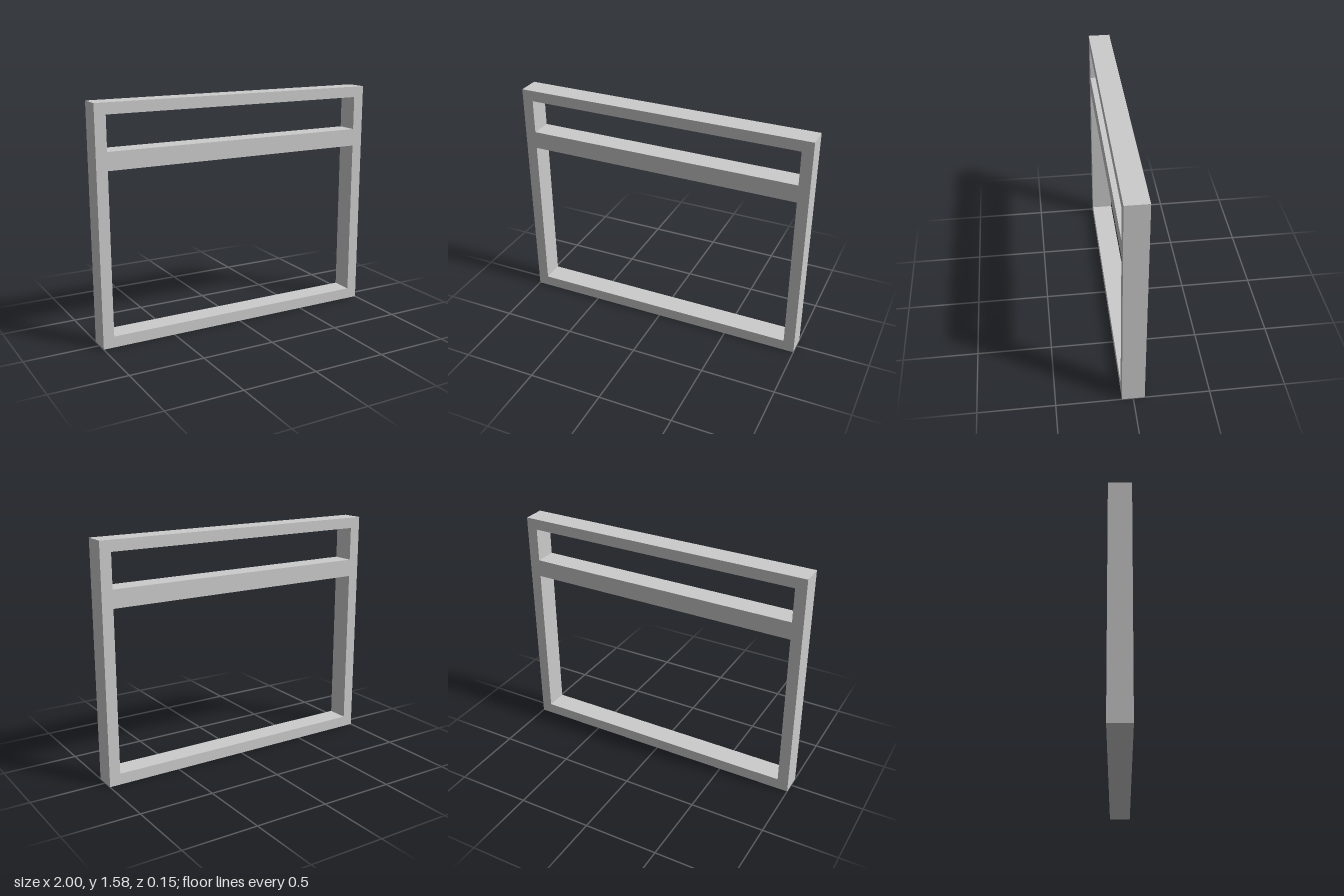
import * as THREE from 'three';

const HEIGHT = 1.575, DEPTH = 0.148, INNER_X = 0.926;

// Trace a rectangle into a Shape or Path
function rect(path, x0, y0, x1, y1) {
  path.moveTo(x0, y0);
  path.lineTo(x1, y0);
  path.lineTo(x1, y1);
  path.lineTo(x0, y1);
  path.closePath();
  return path;
}

export function createModel() {
  const group = new THREE.Group();
  group.name = 'windowFrame';

  // Outer outline with the main opening and the transom opening cut out
  const outline = rect(new THREE.Shape(), -1, 0, 1, HEIGHT);
  const openings = [[0.075, 1.156], [1.275, 1.502]];
  for (const [bottom, top] of openings) {
    outline.holes.push(rect(new THREE.Path(), -INNER_X, bottom, INNER_X, top));
  }

  const geometry = new THREE.ExtrudeGeometry(outline, { depth: DEPTH, bevelEnabled: false });
  geometry.translate(0, 0, -DEPTH / 2);

  const frame = new THREE.Mesh(geometry, new THREE.MeshStandardMaterial({ color: 0xcccccc }));
  frame.name = 'frameWithTransomBar';
  group.add(frame);
  return group;
}
